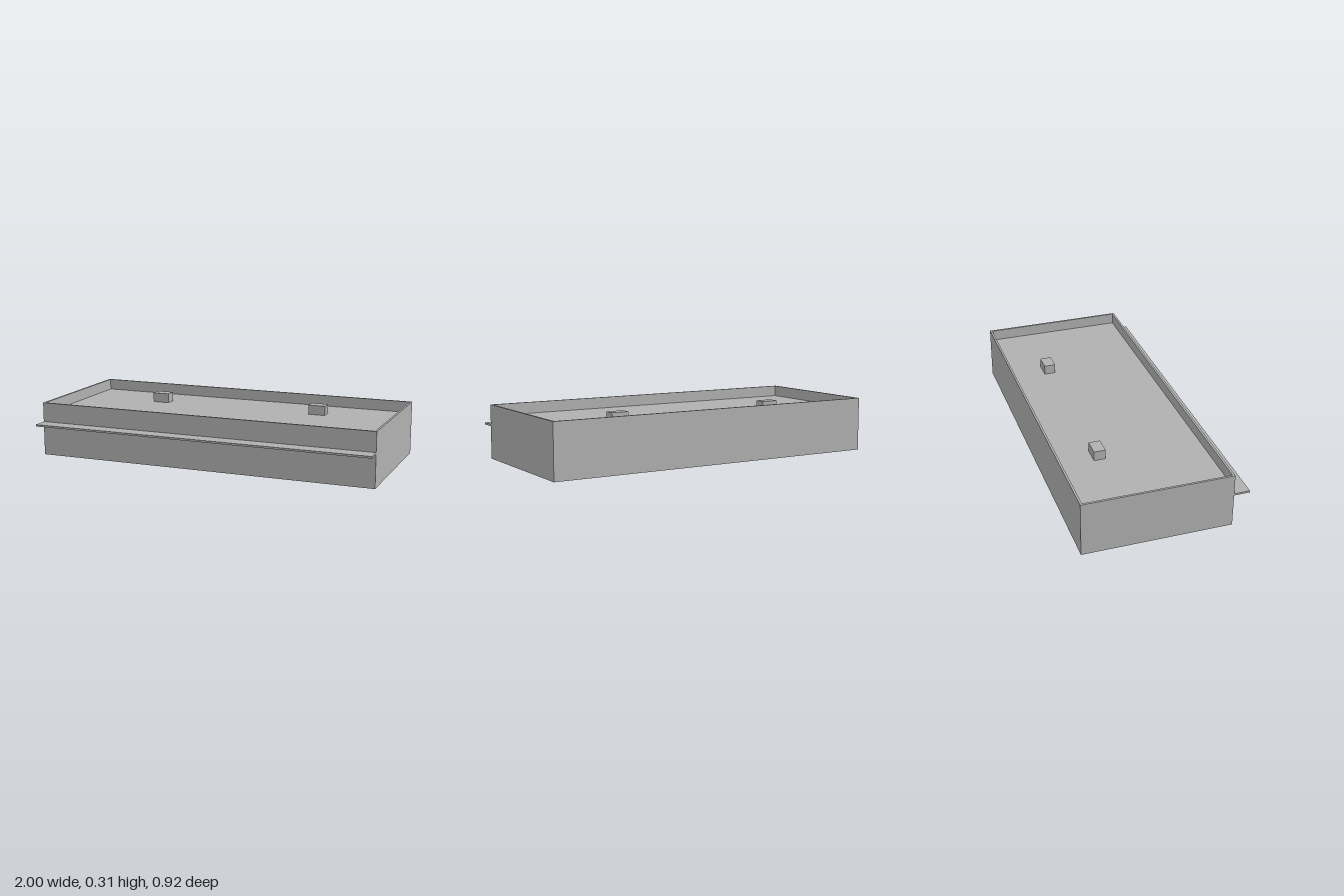
import * as THREE from 'three';

export function createModel() {
  const model = new THREE.Group();
  const grey = new THREE.MeshStandardMaterial({ color: 0xb0b0b0 });
  grey.name = 'grey';

  // Box given by its minimum and maximum corners
  function box(name, [x0, y0, z0], [x1, y1, z1]) {
    const mesh = new THREE.Mesh(new THREE.BoxGeometry(x1 - x0, y1 - y0, z1 - z0), grey);
    mesh.position.set((x0 + x1) / 2, (y0 + y1) / 2, (z0 + z1) / 2);
    mesh.name = name;
    model.add(mesh);
  }

  const back = -0.462, front = 0.373, top = 0.311, floor = 0.247, wall = 0.012;

  // Solid slab up to the sunken roof floor
  box('base', [-1, 0, back], [1, floor, front]);

  // Thin parapet standing around the roof, one extruded ring
  const rim = new THREE.Shape([[-1, -front], [1, -front], [1, -back], [-1, -back]]
    .map(([x, y]) => new THREE.Vector2(x, y)));
  const w = 1 - wall;
  rim.holes.push(new THREE.Path([[-w, -front + wall], [-w, -back - wall], [w, -back - wall], [w, -front + wall]]
    .map(([x, y]) => new THREE.Vector2(x, y))));
  const parapet = new THREE.Mesh(
    new THREE.ExtrudeGeometry(rim, { depth: top - floor, bevelEnabled: false }), grey);
  parapet.rotation.x = -Math.PI / 2;
  parapet.position.y = floor;
  parapet.name = 'parapet';
  model.add(parapet);

  // Canopy shelf along the front
  box('canopy', [-1, 0.187, front], [1, 0.198, 0.462]);

  // Two small units on the roof
  for (const [name, x] of [['leftRoofUnit', 0.5], ['rightRoofUnit', -0.5]]) {
    box(name, [x - 0.05, floor, -0.249], [x + 0.05, 0.302, -0.184]);
  }
  return model;
}
